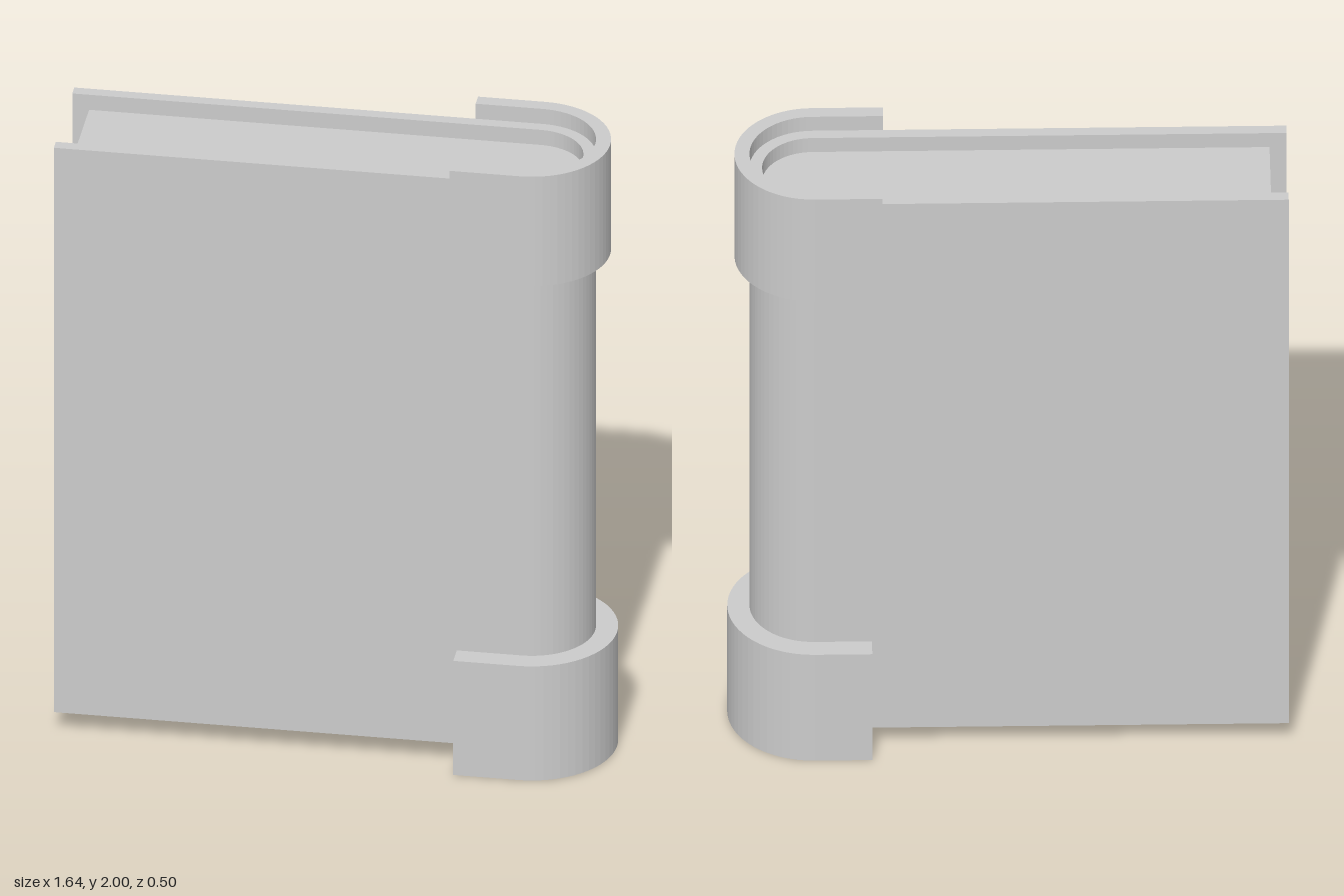
import * as THREE from 'three';

const material = new THREE.MeshStandardMaterial({ color: 0xcccccc, flatShading: true });
const SPINE_X = 0.568; // centre of the rounded spine
const SEGMENTS = 16;

// Stands a floor-plan outline upright between two heights
function upright(name, shape, bottom, top) {
  const geometry = new THREE.ExtrudeGeometry(shape, {
    depth: top - bottom, bevelEnabled: false, curveSegments: SEGMENTS,
  });
  geometry.rotateX(-Math.PI / 2).translate(0, bottom, 0);
  const mesh = new THREE.Mesh(geometry, material);
  mesh.name = name;
  return mesh;
}

// U-shaped outline wrapping the spine, open towards -x
function wrapShape(inner, outer, frontX, backX) {
  const s = new THREE.Shape();
  s.moveTo(frontX, -outer);
  s.lineTo(SPINE_X, -outer);
  s.absarc(SPINE_X, 0, outer, -Math.PI / 2, Math.PI / 2, false);
  s.lineTo(backX, outer);
  s.lineTo(backX, inner);
  s.lineTo(SPINE_X, inner);
  s.absarc(SPINE_X, 0, inner, Math.PI / 2, -Math.PI / 2, true);
  s.lineTo(frontX, -inner);
  s.closePath();
  return s;
}

// Solid outline with one rounded end
function pageShape(radius, endX) {
  const s = new THREE.Shape();
  s.moveTo(endX, -radius);
  s.lineTo(SPINE_X, -radius);
  s.absarc(SPINE_X, 0, radius, -Math.PI / 2, Math.PI / 2, false);
  s.lineTo(endX, radius);
  s.closePath();
  return s;
}

export function createModel() {
  const book = new THREE.Group();
  book.name = 'book';
  book.add(
    // Boards and rounded spine in one piece
    upright('cover', wrapShape(0.15, 0.187, -0.82, -0.82), 0.07, 1.95),
    // Page block, set back from the cover edges
    upright('pages', pageShape(0.15, -0.77), 0.12, 1.9),
    // Bands clasping the spine
    upright('upperBand', wrapShape(0.187, 0.231, 0.36, 0.37), 1.635, 2),
    upright('lowerBand', wrapShape(0.187, 0.252, 0.375, 0.4), 0, 0.38),
  );
  return book;
}
